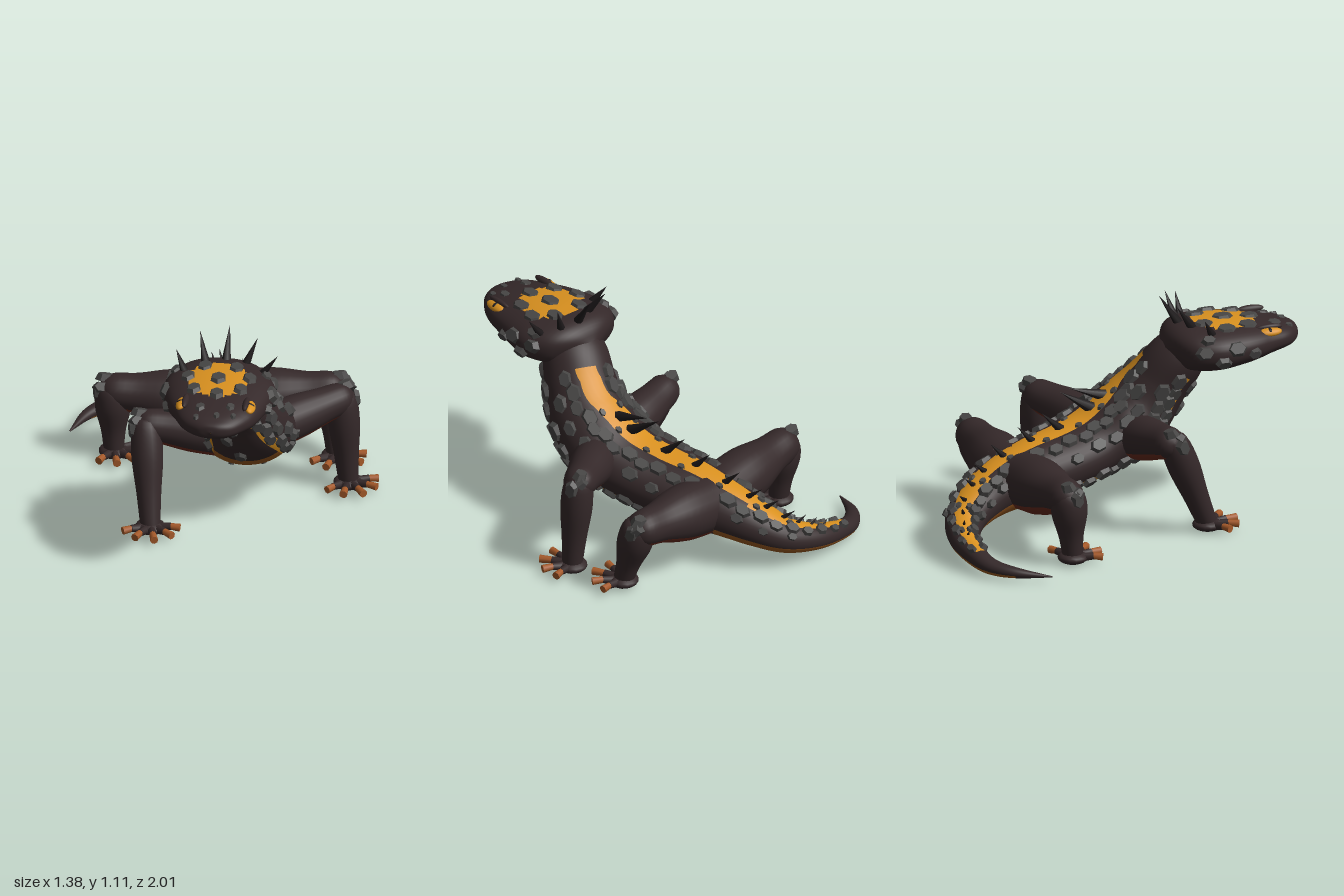
import * as THREE from 'three';

const mat = (name, color, extra = {}) => {
  const m = new THREE.MeshStandardMaterial({ color, ...extra });
  m.name = name;
  return m;
};
const M = {
  hide: mat('dark hide', 0x342829),
  gold: mat('gold skin', 0xd8901f),
  belly: mat('amber belly', 0x9a5a20),
  red: mat('rust underside', 0x6a2c1e),
  scale: mat('grey scale', 0x474645),
  spike: mat('black horn', 0x1d191a),
  toe: mat('copper toe', 0xa65a2a),
};
const V = (x, y, z) => new THREE.Vector3(x, y, z);
const RAD = Math.PI / 180;
const Y = V(0, 1, 0), Z = V(0, 0, 1);

// A swept body: stations are [x, y, z, halfWidth, halfHeight].
class Sweep {
  constructor(stations, ref = Y, power = 1) {
    this.c = new THREE.CatmullRomCurve3(stations.map(s => V(s[0], s[1], s[2])), false, 'catmullrom');
    this.r = new THREE.CatmullRomCurve3(stations.map(s => V(s[3], s[4], 0)), false, 'catmullrom');
    this.ref = ref;
    this.power = power;
  }
  // Surface point, normal and forward direction at u (0..1) and angle in degrees (90 = top).
  at(u, deg) {
    const p = this.c.getPoint(u), t = this.c.getTangent(u), r = this.r.getPoint(u);
    const side = this.ref.clone().cross(t).normalize(), up = t.clone().cross(side);
    const bend = v => Math.sign(v) * Math.pow(Math.abs(v), this.power);
    const c = Math.cos(deg * RAD), s = Math.sin(deg * RAD);
    const rw = Math.max(r.x, 0.002), rh = Math.max(r.y, 0.002);
    p.addScaledVector(side, rw * bend(c)).addScaledVector(up, rh * bend(s));
    const n = side.multiplyScalar(c / rw).addScaledVector(up, s / rh).normalize();
    return { p, n, t };
  }
  // Mesh whose faces take materials[pick(u, degrees)].
  mesh(name, rings, sides, materials, pick) {
    const pos = [], lists = materials.map(() => []);
    for (let i = 0; i <= rings; i++)
      for (let j = 0; j < sides; j++) pos.push(...this.at(i / rings, j * 360 / sides).p.toArray());
    for (let i = 0; i < rings; i++)
      for (let j = 0; j < sides; j++) {
        const k = (j + 1) % sides, a = i * sides + j, b = i * sides + k, c = a + sides, d = b + sides;
        lists[pick((i + 0.5) / rings, (j + 0.5) * 360 / sides)].push(a, b, c, b, d, c);
      }
    const g = new THREE.BufferGeometry();
    g.setAttribute('position', new THREE.Float32BufferAttribute(pos, 3));
    g.setIndex(lists.flat());
    let start = 0;
    lists.forEach((l, i) => { g.addGroup(start, l.length, i); start += l.length; });
    g.computeVertexNormals();
    const m = new THREE.Mesh(g, materials);
    m.name = name;
    return m;
  }
}

function add(parent, name, geometry, material) {
  const m = new THREE.Mesh(geometry, material);
  m.name = name;
  parent.add(m);
  return m;
}
function group(parent, name) {
  const g = new THREE.Group();
  g.name = name;
  parent.add(g);
  return g;
}

// Bevelled six-sided plate with flat faces
const plateGeo = new THREE.CylinderGeometry(0.72, 1, 1, 6).toNonIndexed();
plateGeo.computeVertexNormals();
function plate(parent, sweep, u, deg, r, material = M.scale, h = 0.035) {
  const { p, n, t } = sweep.at(u, deg);
  const x = n.clone().cross(t).normalize(), z = x.clone().cross(n);
  const m = add(parent, 'scalePlate', plateGeo, material);
  m.quaternion.setFromRotationMatrix(new THREE.Matrix4().makeBasis(x, n, z));
  m.position.copy(p);
  m.scale.set(r * 0.85, h, r * 1.15);
}
// Tapered rod between two points
function rod(parent, name, a, b, r0, r1, material, sides = 8) {
  const d = b.clone().sub(a);
  const m = add(parent, name, new THREE.CylinderGeometry(r1, r0, d.length(), sides), material);
  m.position.copy(a).addScaledVector(d, 0.5);
  m.quaternion.setFromUnitVectors(Y, d.normalize());
}

function leg(parent, name, hip, knee, foot, rHip, rKnee, heading) {
  const g = group(parent, name);
  const mix = (a, b, k, r) => [...a.clone().lerp(b, k).toArray(), r, r];
  const upper = new Sweep([mix(hip, knee, 0, rHip), mix(hip, knee, 0.4, rHip * 0.95), mix(hip, knee, 0.75, rKnee * 1.15),
    mix(hip, knee, 1, rKnee), mix(hip, knee, 1.11, rKnee * 0.6), mix(hip, knee, 1.15, 0.002)]);
  g.add(upper.mesh('upperLeg', 20, 20, [M.hide, M.red], (u, a) => a > 222 && a < 318 && u < 0.62 ? 1 : 0));
  const top = knee.clone().add(V(0, 0.05, 0));
  const lower = new Sweep([mix(top, foot, 0, 0.01), mix(top, foot, 0.08, rKnee * 0.85), mix(top, foot, 0.35, rKnee * 1.02),
    mix(top, foot, 0.7, 0.062), mix(top, foot, 1, 0.05)], Z);
  g.add(lower.mesh('lowerLeg', 18, 18, [M.hide], () => 0));
  // Knee guards
  const out = Math.sign(hip.x) > 0 ? 0 : 180;
  plate(g, upper, 0.74, out === 0 ? 75 : 105, 0.045);
  plate(g, upper, 0.84, 40, 0.04);
  plate(g, lower, 0.3, out, 0.045, M.scale, 0.025);
  // Palm and spread toes
  const palm = add(g, 'palm', new THREE.SphereGeometry(1, 16, 10), M.hide);
  palm.scale.set(0.075, 0.032, 0.075);
  palm.position.set(foot.x, 0.035, foot.z);
  for (let i = -2; i <= 2; i++) {
    const a = (heading + i * 36) * RAD, reach = 0.165 - Math.abs(i) * 0.008;
    const on = (k, y) => V(foot.x + Math.sin(a) * k, y, foot.z + Math.cos(a) * k);
    rod(g, 'toe', on(0.03, 0.035), on(0.105, 0.045), 0.024, 0.018, M.hide);
    rod(g, 'toeTip', on(0.095, 0.045), on(reach, 0.042), 0.016, 0.02, M.toe);
  }
}

export function createModel() {
  const root = new THREE.Group();
  root.name = 'spinyLizard';

  // Tail, trunk and neck as one sweep from tail tip to skull
  const N = 15;
  const body = new Sweep([
    [-0.68, 0.03, -0.75, 0.003, 0.003], [-0.565, 0.045, -0.88, 0.03, 0.026], [-0.45, 0.055, -0.94, 0.045, 0.038],
    [-0.33, 0.075, -0.945, 0.055, 0.05], [-0.17, 0.11, -0.905, 0.075, 0.064], [-0.04, 0.155, -0.81, 0.1, 0.085],
    [0.02, 0.215, -0.68, 0.13, 0.11], [0.04, 0.265, -0.53, 0.16, 0.135], [0.04, 0.3, -0.35, 0.2, 0.155],
    [0.04, 0.335, -0.15, 0.22, 0.155], [0.04, 0.38, 0.02, 0.23, 0.16], [0.02, 0.445, 0.17, 0.24, 0.185],
    [-0.01, 0.54, 0.28, 0.21, 0.18], [-0.06, 0.66, 0.36, 0.18, 0.155], [-0.12, 0.78, 0.43, 0.165, 0.14],
    [-0.16, 0.86, 0.5, 0.14, 0.1]]);
  root.add(body.mesh('body', 105, 40, [M.hide, M.gold, M.belly], (u, a) => {
    const i = u * N, s = Math.sin(a * RAD), fromTop = Math.abs(a - 90);
    if (i > 2.8 && i < 13.5 && fromTop < (i < 6.5 ? 28 : 19)) return 1;
    if (i > 8.5 && i < 13.8 && s < -0.45 && s > -0.66) return 1;
    return i > 1 && i < 11.6 && s < (i < 7 ? -0.35 : -0.65) ? 2 : 0;
  }));

  // Scale rows along both sides
  const armour = group(root, 'bodyScales');
  for (const s of [1, -1]) {
    const row = (from, to, step, fromTop, size) => {
      for (let i = from, k = 0; i <= to; i += step, k++)
        plate(armour, body, i / N, 90 - s * (fromTop + (k % 2) * 6), size(i) * (k % 2 ? 0.88 : 1));
    };
    row(3.1, 13.6, 0.48, 33, i => Math.min(0.052, 0.012 + i * 0.0058));
    row(5, 12.8, 0.75, 60, i => Math.min(0.05, 0.006 + i * 0.0045));
    row(8.6, 13.7, 0.42, 118, () => 0.05);
    row(10.8, 13.4, 0.55, 97, () => 0.052);
    row(7.5, 10.8, 0.6, 155, () => 0.026);
    // Small plates edging the middle of the back
    for (let i = 4; i < 12; i += 1.1) plate(armour, body, i / N, 90 - s * 15, 0.022, M.scale, 0.022);
  }
  for (const [i, a] of [[11.9, 268], [12.6, 262], [13.2, 280], [13.5, 255]]) plate(armour, body, i / N, a, 0.045, M.scale, 0.025);

  // Spines down the back
  const spines = group(root, 'backSpines');
  const spineRow = [[11.2, 0.2], [10.4, 0.21], [9.1, 0.16], [8.2, 0.13], [7.3, 0.12], [6.6, 0.1],
    [6, 0.09], [5.4, 0.08], [4.8, 0.065], [4.3, 0.05], [3.8, 0.04]];
  for (const [i, len] of spineRow) {
    const { p, n, t } = body.at(i / N, 90);
    rod(spines, 'spine', p.clone().addScaledVector(n, -0.015),
      p.clone().addScaledVector(n, len * 0.75).addScaledVector(t, -len * 0.6), len * 0.13 + 0.004, 0, M.spike, 6);
  }

  // Head, turned slightly to one side
  const head = group(root, 'head');
  const skull = new Sweep([
    [-0.12, 0.845, 0.34, 0.06, 0.04], [-0.145, 0.86, 0.41, 0.21, 0.105], [-0.19, 0.86, 0.53, 0.275, 0.118],
    [-0.23, 0.865, 0.66, 0.26, 0.108], [-0.265, 0.87, 0.79, 0.22, 0.088], [-0.3, 0.872, 0.89, 0.175, 0.068],
    [-0.32, 0.87, 0.95, 0.125, 0.052], [-0.333, 0.87, 0.985, 0.065, 0.033], [-0.337, 0.87, 0.995, 0.003, 0.003]], Y, 0.85);
  head.add(skull.mesh('skull', 56, 48, [M.hide, M.gold], (u, a) =>
    a < 180 && ((u - 0.345) / 0.15) ** 2 + (Math.cos(a * RAD) / 0.52) ** 2 < 1 ? 1 : 0));

  // Crown and cheek scales
  const crown = group(head, 'headScales');
  plate(crown, skull, 0.345, 90, 0.055, M.scale, 0.025);
  for (let k = 0; k < 7; k++) {
    const a = k * Math.PI * 2 / 7;
    plate(crown, skull, 0.345 + 0.125 * Math.cos(a), 90 + 31 * Math.sin(a), 0.05, M.scale, 0.025);
  }
  for (const [u, a, r] of [[0.57, 70, 0.03], [0.59, 108, 0.034], [0.68, 85, 0.022], [0.7, 120, 0.02], [0.66, 55, 0.02]])
    plate(crown, skull, u, a, r, M.scale, 0.016);
  for (const s of [1, -1])
    for (const [u, a, r] of [[0.2, 8, 0.045], [0.27, -14, 0.042], [0.33, 12, 0.05], [0.41, -6, 0.036], [0.22, 36, 0.038]])
      plate(crown, skull, u, 90 - s * (90 - a), r, M.scale, 0.03);

  // Almond eyes under heavy brows
  for (const s of [1, -1]) {
    const { p, n, t } = skull.at(0.53, 90 - s * 52);
    const x = n.clone().cross(t).normalize(), z = x.clone().cross(n);
    const turn = new THREE.Quaternion().setFromRotationMatrix(new THREE.Matrix4().makeBasis(x, n, z));
    const part = (name, material, lift, shift, sx, sy, sz) => {
      const m = add(head, name, new THREE.SphereGeometry(1, 18, 12), material);
      m.position.copy(p).addScaledVector(n, lift).addScaledVector(x, shift);
      m.quaternion.copy(turn);
      m.scale.set(sx, sy, sz);
    };
    part('eye', M.gold, 0, 0, 0.027, 0.018, 0.062);
    part('pupil', M.spike, 0.015, 0, 0.016, 0.005, 0.009);
    part('brow', M.hide, 0.004, -s * 0.027, 0.016, 0.02, 0.07);
  }

  // Fan of horns behind the crown
  const horns = group(head, 'crownHorns');
  const hornRow = [
    [-0.35, 0.93, 0.48, -0.385, 1.04, 0.4], [-0.24, 0.95, 0.44, -0.25, 1.09, 0.33], [-0.14, 0.95, 0.43, -0.1, 1.11, 0.33],
    [-0.06, 0.93, 0.47, 0.015, 1.085, 0.45], [0.0, 0.91, 0.54, 0.09, 1.035, 0.57]];
  for (const h of hornRow) rod(horns, 'horn', V(h[0], h[1], h[2]), V(h[3], h[4], h[5]), 0.026, 0, M.spike, 7);

  // Four legs in a walking pose
  leg(root, 'leftFrontLeg', V(0.12, 0.42, 0.15), V(0.52, 0.49, 0.04), V(0.55, 0.04, 0.06), 0.115, 0.078, 15);
  leg(root, 'rightFrontLeg', V(-0.1, 0.42, 0.16), V(-0.48, 0.49, 0.12), V(-0.5, 0.04, 0.33), 0.115, 0.078, -5);
  leg(root, 'leftHindLeg', V(0.1, 0.29, -0.43), V(0.55, 0.35, -0.33), V(0.55, 0.04, -0.23), 0.145, 0.088, 5);
  leg(root, 'rightHindLeg', V(-0.04, 0.29, -0.44), V(-0.51, 0.35, -0.53), V(-0.51, 0.04, -0.5), 0.145, 0.088, 30);
  return root;
}
